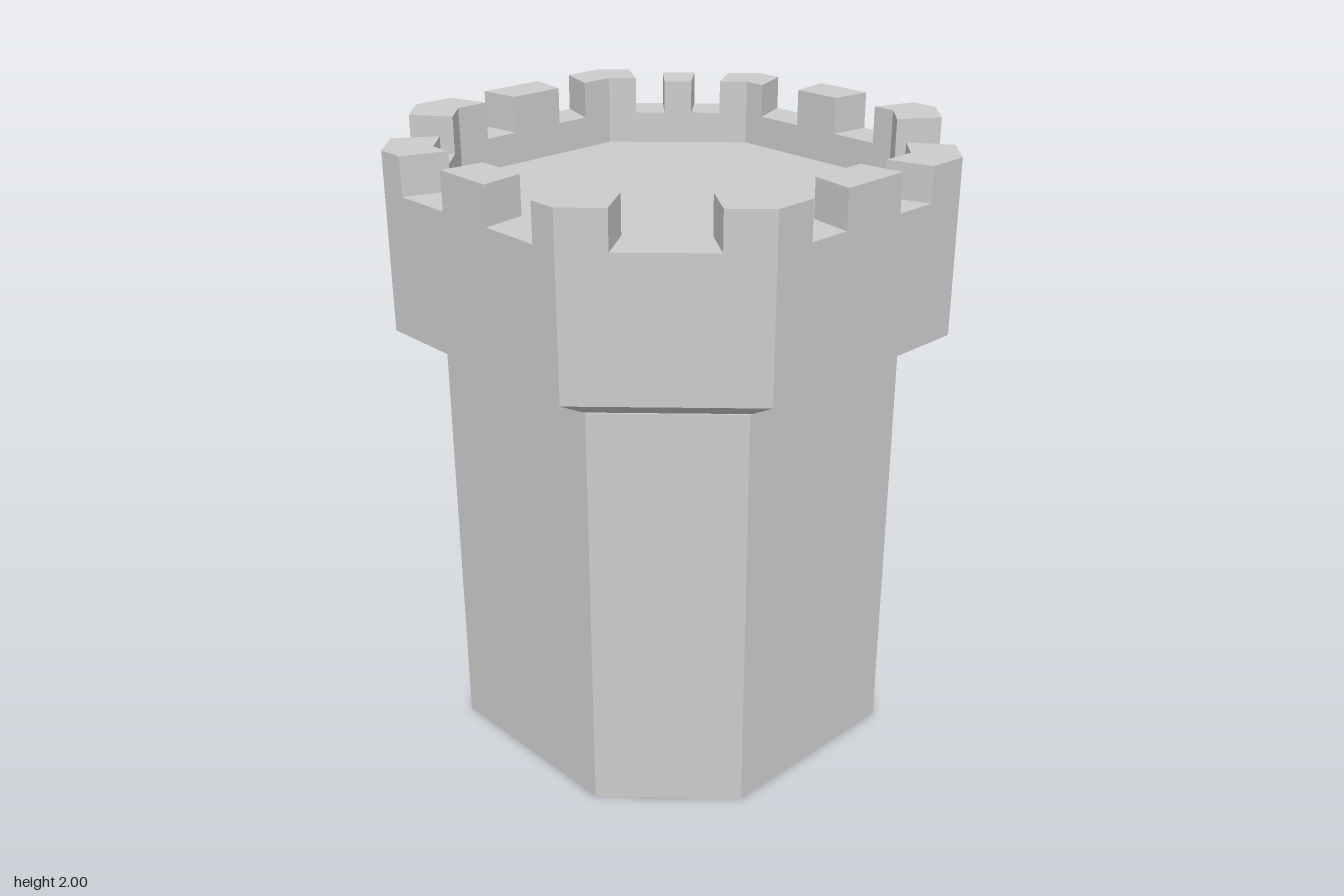
import * as THREE from 'three';

const material = new THREE.MeshStandardMaterial({ color: 0xcccccc, flatShading: true });
const INNER = 0.83; // inner wall outline relative to the outer one

// Eight-sided outline with long sides on the axes, as [x, z] points
const octagon = (r, h) => [[h, r], [r, h], [r, -h], [h, -r], [-h, -r], [-r, -h], [-r, h], [-h, r]];
const scaled = (points, k) => points.map(([x, z]) => [x * k, z * k]);
const toVectors = (points) => points.map(([x, z]) => new THREE.Vector2(x, -z));

// Upright prism over an [x, z] outline, with an optional hole
function prism(points, y0, y1, hole) {
  const shape = new THREE.Shape(toVectors(points));
  if (hole) shape.holes.push(new THREE.Path(toVectors(hole)));
  const geometry = new THREE.ExtrudeGeometry(shape, { depth: y1 - y0, bevelEnabled: false });
  return geometry.rotateX(-Math.PI / 2).translate(0, y0, 0);
}

export function createModel() {
  const tower = new THREE.Group();
  tower.name = 'tower';
  const add = (name, geometry, parent = tower) => {
    const mesh = new THREE.Mesh(geometry, material);
    mesh.name = name;
    parent.add(mesh);
  };

  const outer = octagon(0.8, 0.39);
  const floorY = 1.775, crenelY = 1.88;

  add('shaft', prism(octagon(0.66, 0.33), 0, 1.355));

  // Flared corbel: the lower outline is drawn in to meet the shaft
  const corbel = prism(outer, 1.355, 1.44);
  const pos = corbel.attributes.position;
  for (let i = 0; i < pos.count; i++) {
    if (pos.getY(i) < 1.4) {
      pos.setX(i, pos.getX(i) * 0.825);
      pos.setZ(i, pos.getZ(i) * 0.825);
    }
  }
  corbel.computeVertexNormals();
  add('corbel', corbel);

  // Parapet ring and the roof floor inside it
  add('parapet', prism(outer, 1.44, crenelY, scaled(outer, INNER)));
  const floor = new THREE.ShapeGeometry(new THREE.Shape(toVectors(scaled(outer, INNER))));
  add('roofFloor', floor.rotateX(-Math.PI / 2).translate(0, floorY, 0));

  // Merlons: outer edge points, cut along lines towards the tower axis
  const merlons = new THREE.Group();
  merlons.name = 'merlons';
  tower.add(merlons);
  const addMerlon = (name, edge, top = 2) => {
    const outline = [...edge, ...scaled(edge, INNER).reverse()];
    add(name, prism(outline, crenelY, top), merlons);
  };

  for (const s of [1, -1]) {
    addMerlon('middleMerlon', [[-0.115, s * 0.8], [0.115, s * 0.8]]);
    addMerlon('middleMerlon', [[s * 0.8, -0.1], [s * 0.8, 0.1]]);
  }

  // Two bent merlons around the corners of each slanted side
  for (const sx of [1, -1]) {
    for (const sz of [1, -1]) {
      const backRight = sx > 0 && sz < 0; // this side has an extra merlon
      const a = backRight ? 0.47 : 0.49, b = 1.19 - a;
      addMerlon('cornerMerlon', [[sx * 0.255, sz * 0.8], [sx * 0.39, sz * 0.8], [sx * a, sz * b]],
        sx > 0 && sz > 0 ? 1.99 : 2);
      addMerlon('cornerMerlon', [[sx * 0.8, sz * 0.3], [sx * 0.8, sz * 0.39], [sx * b, sz * a]],
        backRight ? 1.99 : 2);
    }
  }
  addMerlon('extraMerlon', [[0.555, -0.635], [0.635, -0.555]], 1.99);

  return tower;
}
